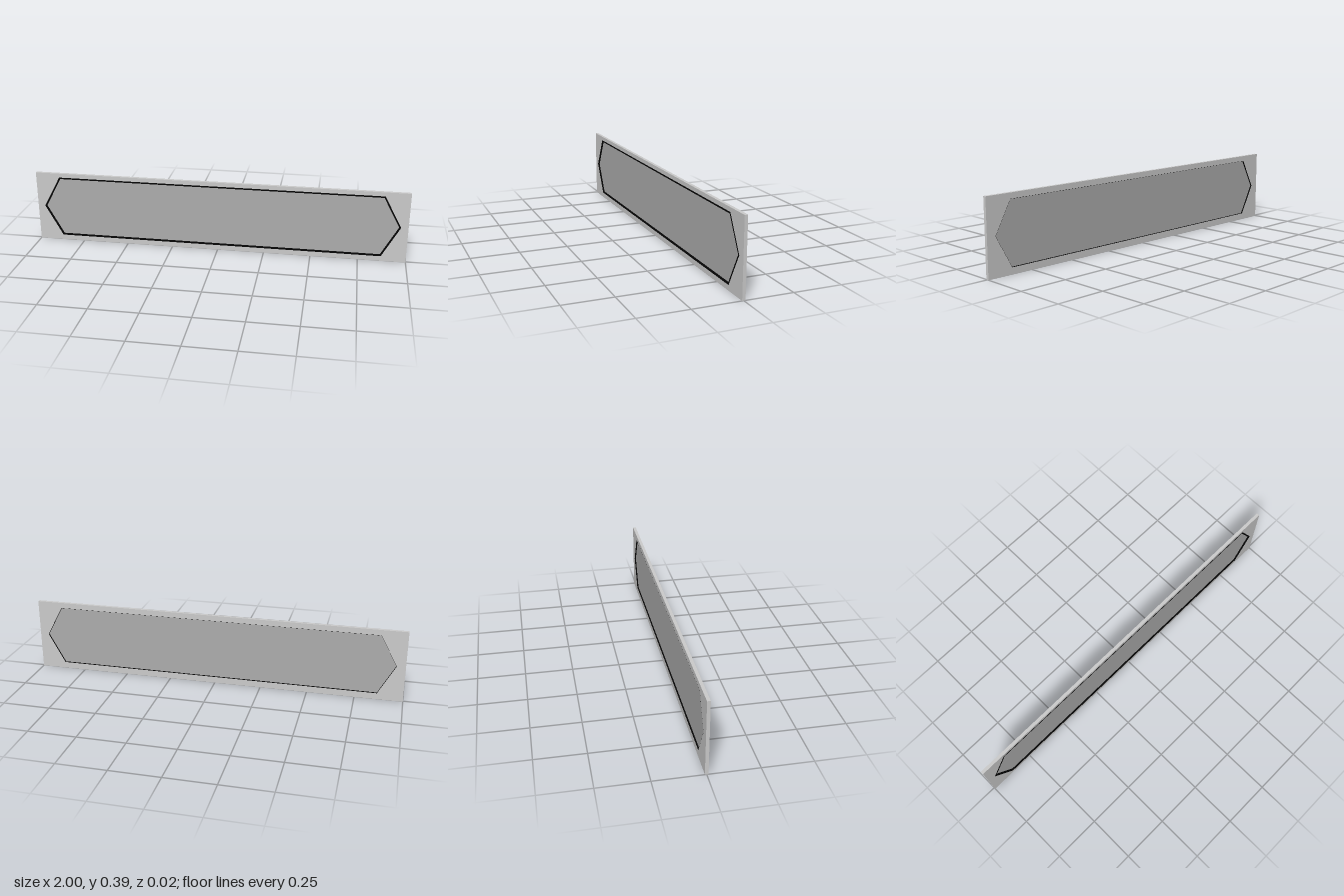
import * as THREE from 'three';

const WIDTH = 2, HEIGHT = 0.387, DEPTH = 0.0164, CENTRE_Y = 0.196;

// Long hexagon with pointed ends, shrunk evenly by inset
function hexagon(inset, Type = THREE.Shape) {
  const tip = 0.962 - inset * 1.14, shoulder = 0.87 - inset * 0.6, h = 0.169 - inset;
  const points = [[tip, 0], [shoulder, h], [-shoulder, h], [-tip, 0], [-shoulder, -h], [shoulder, -h]];
  return new Type(points.map(([x, y]) => new THREE.Vector2(x, y + CENTRE_Y)));
}

function plate(name, shape, depth, z, color) {
  const geometry = new THREE.ExtrudeGeometry(shape, { depth, bevelEnabled: false });
  const mesh = new THREE.Mesh(geometry, new THREE.MeshStandardMaterial({ color }));
  mesh.name = name;
  mesh.position.z = z;
  return mesh;
}

function hexRing(outerInset, innerInset) {
  const shape = hexagon(outerInset);
  shape.holes.push(hexagon(innerInset, THREE.Path));
  return shape;
}

export function createModel() {
  const group = new THREE.Group();
  group.name = 'windowPanel';
  const back = -DEPTH / 2 - 0.0002;

  // Rectangular frame with a hexagonal opening
  const outline = new THREE.Shape([
    new THREE.Vector2(-WIDTH / 2, 0), new THREE.Vector2(WIDTH / 2, 0),
    new THREE.Vector2(WIDTH / 2, HEIGHT), new THREE.Vector2(-WIDTH / 2, HEIGHT),
  ]);
  outline.holes.push(hexagon(0.007, THREE.Path));
  group.add(plate('frame', outline, DEPTH, back, 0xcccccc));

  // Black lining of the opening and the thin trim around it on the front
  group.add(plate('openingLining', hexRing(0.007, 0.008), DEPTH, back, 0x050505));
  group.add(plate('frontTrim', hexRing(0, 0.008), 0.0006, back + DEPTH, 0x050505));

  // Pane set midway in the opening
  group.add(plate('pane', hexagon(0.0075), 0.002, -0.001, 0xadadad));
  return group;
}
